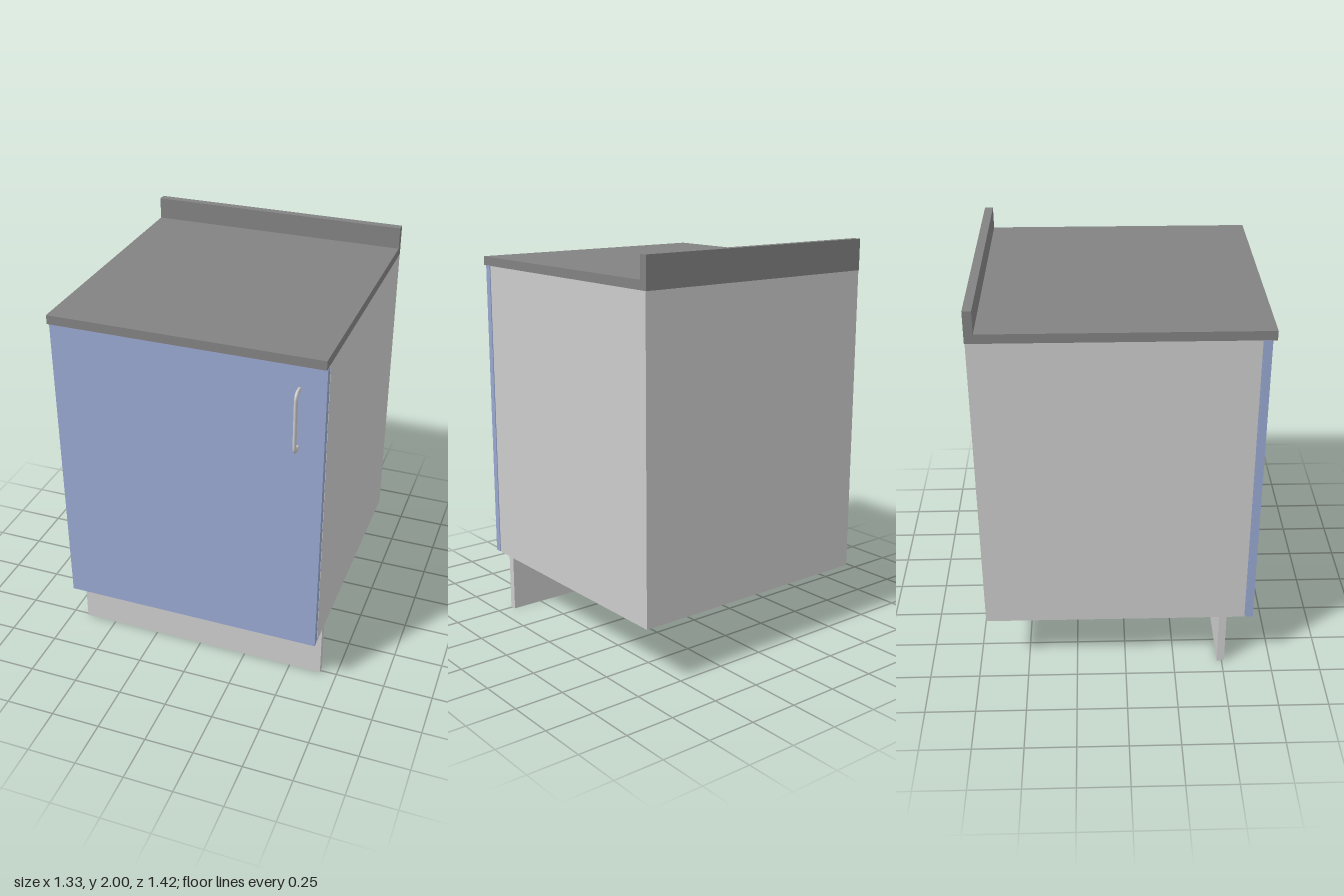
import * as THREE from 'three';

const WIDTH = 1.33;

function mat(color) {
  return new THREE.MeshStandardMaterial({ color });
}

export function createModel() {
  const group = new THREE.Group();
  const grey = mat(0xcccccc), blue = mat(0x98a7cf), dark = mat(0x828282);

  function add(name, geometry, material) {
    const mesh = new THREE.Mesh(geometry, material);
    mesh.name = name;
    group.add(mesh);
    return mesh;
  }

  // Box given by its width and its y and z ranges
  function slab(name, w, y0, y1, z0, z1, material) {
    const mesh = add(name, new THREE.BoxGeometry(w, y1 - y0, z1 - z0), material);
    mesh.position.set(0, (y0 + y1) / 2, (z0 + z1) / 2);
  }

  slab('plinth', WIDTH, 0, 0.29, 0.475, 0.513, grey);
  slab('carcass', WIDTH, 0.29, 1.845, -0.706, 0.604, grey);

  // Door panel with a thin strip set in behind it
  slab('door', WIDTH, 0.29, 1.843, 0.611, 0.647, blue);
  slab('doorBacking', WIDTH - 0.006, 0.293, 1.84, 0.604, 0.611, blue);

  // Worktop and upstand share one L-shaped profile, drawn in z and y
  const profile = new THREE.Shape([
    [0.667, 1.845], [0.667, 1.89], [-0.667, 1.89],
    [-0.667, 2], [-0.709, 2], [-0.709, 1.845],
  ].map(([z, y]) => new THREE.Vector2(z, y)));
  const top = new THREE.ExtrudeGeometry(profile, { depth: WIDTH, bevelEnabled: false });
  top.rotateY(-Math.PI / 2).translate(WIDTH / 2, 0, 0);
  add('worktop', top, dark);

  // Bow handle: a bent bar with rounded corners and an oval section
  const v = (y, z) => new THREE.Vector3(0, y, z);
  const path = new THREE.CurvePath();
  const front = 0.696, low = 1.426, high = 1.721, r = 0.032;
  path.add(new THREE.LineCurve3(v(low, 0.64), v(low, front - r)));
  path.add(new THREE.QuadraticBezierCurve3(v(low, front - r), v(low, front), v(low + r, front)));
  path.add(new THREE.LineCurve3(v(low + r, front), v(high - r, front)));
  path.add(new THREE.QuadraticBezierCurve3(v(high - r, front), v(high, front), v(high, front - r)));
  path.add(new THREE.LineCurve3(v(high, front - r), v(high, 0.64)));
  const handle = add('handle', new THREE.TubeGeometry(path, 96, 0.0135, 16), grey);
  handle.scale.x = 0.62;
  handle.position.x = 0.541;

  return group;
}
